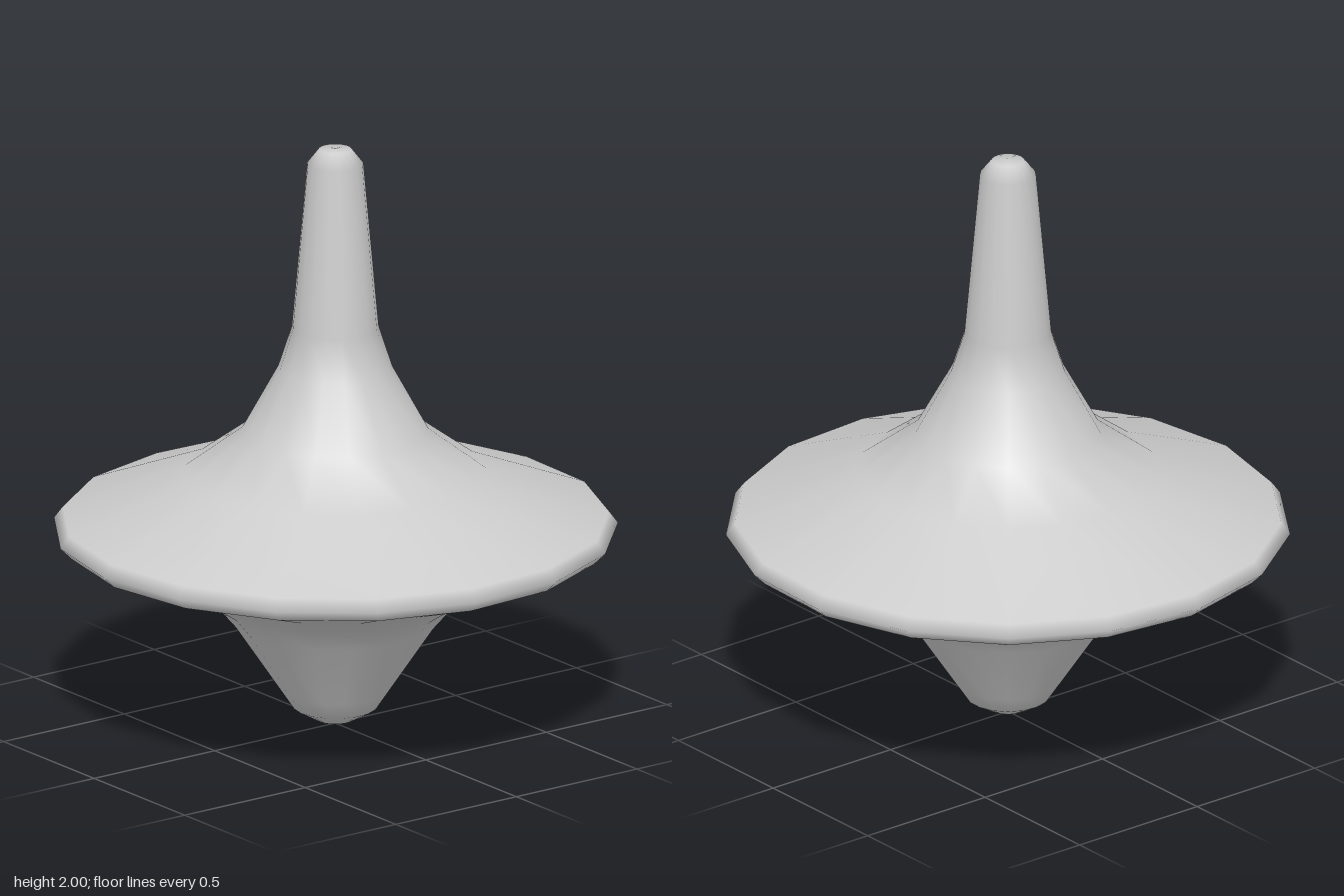
import * as THREE from 'three';

export function createModel() {
  const group = new THREE.Group();
  group.name = 'spinningTop';
  const material = new THREE.MeshStandardMaterial({ color: 0xcccccc });

  // Profile as [radius, height], from the tip up to the end of the handle
  const profile = [
    [0, 0], [0.06, 0.015], [0.14, 0.06], [0.18, 0.12], [0.34, 0.36], [0.4, 0.43],
    [0.52, 0.51], [0.9, 0.64], [0.94, 0.68], [0.91, 0.72],
    [0.5, 0.88], [0.31, 1.02], [0.19, 1.24], [0.145, 1.38],
    [0.094, 1.95], [0.055, 2.0], [0, 2.0],
  ].map(([r, y]) => new THREE.Vector2(r, y));

  // One turned body: tip, disc and handle, with a coarse 17-sided rim
  const body = new THREE.Mesh(new THREE.LatheGeometry(profile, 17, -0.12), material);
  body.name = 'body';
  group.add(body);
  return group;
}
